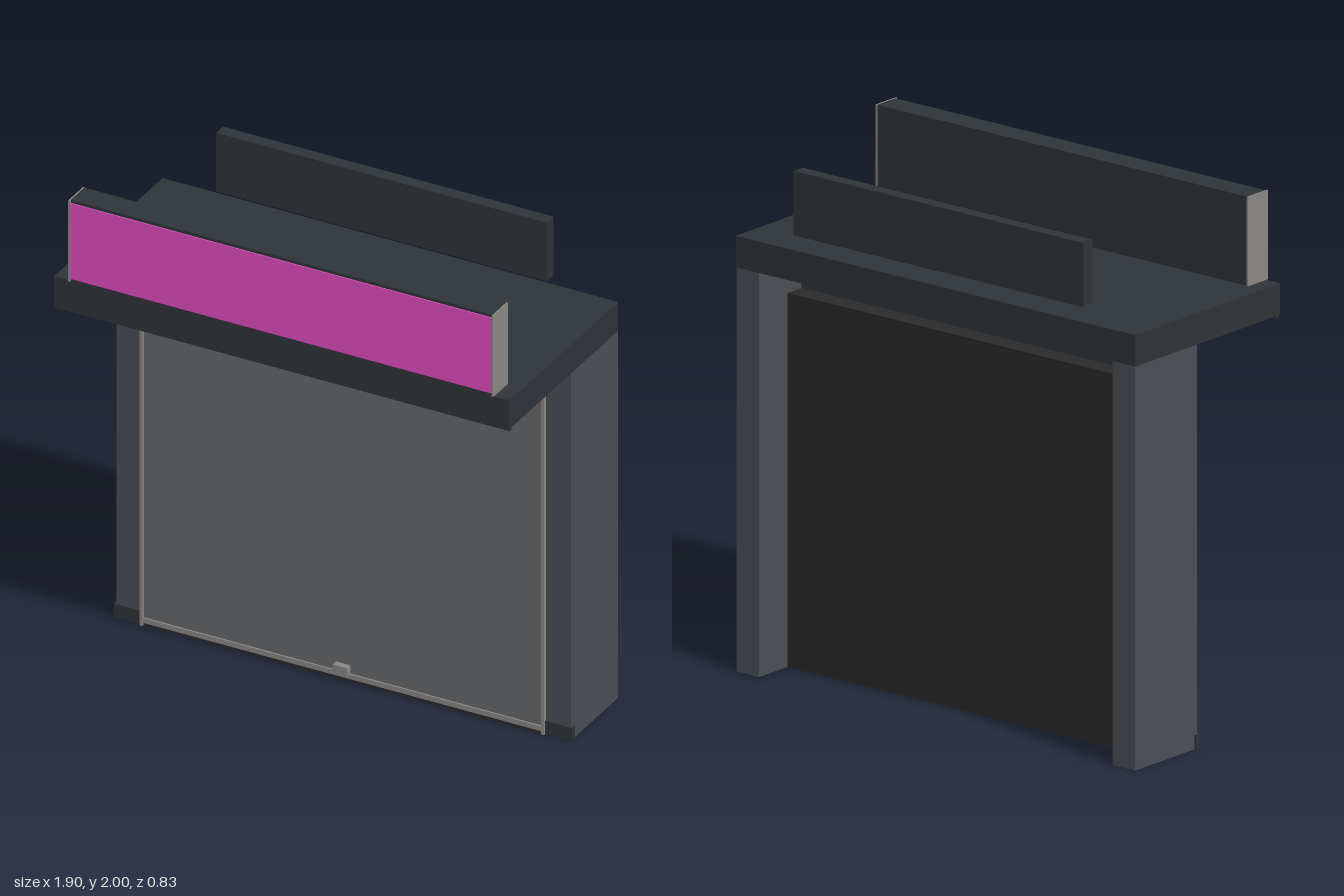
import * as THREE from 'three';

const mat = (color) => new THREE.MeshStandardMaterial({ color });

export function createModel() {
  const model = new THREE.Group();
  const slate = mat(0x2f3438);
  const pillarGrey = mat(0x4a4f54);
  const dark = mat(0x2a2a2a);
  const trim = mat(0x8a8885);
  const shutterGrey = mat(0x65696b);
  const magenta = mat(0xe04cc0);

  // Box given by its limits along each axis
  function box(name, material, [x0, x1], [y0, y1], [z0, z1]) {
    const mesh = new THREE.Mesh(new THREE.BoxGeometry(x1 - x0, y1 - y0, z1 - z0), material);
    mesh.position.set((x0 + x1) / 2, (y0 + y1) / 2, (z0 + z1) / 2);
    mesh.name = name;
    model.add(mesh);
  }
  // The same box on both sides of the model
  function pair(name, material, [x0, x1], y, z) {
    box(name + 'Left', material, [x0, x1], y, z);
    box(name + 'Right', material, [-x1, -x0], y, z);
  }

  // Side pillars with small foot plates
  pair('pillar', pillarGrey, [0.835, 0.943], [0, 1.54], [-0.412, -0.06]);
  pair('footPlate', slate, [0.83, 0.95], [0, 0.055], [-0.075, -0.055]);

  // Canopy slab, front drip lip and the lamp strip underneath
  box('canopy', slate, [-0.945, 0.945], [1.54, 1.66], [-0.412, 0.41]);
  box('dripLip', slate, [-0.943, 0.943], [1.528, 1.541], [0.39, 0.405]);
  box('lampStrip', dark, [-0.3, 0.3], [1.534, 1.541], [0.07, 0.14]);

  // Door opening: header beam and backing
  box('header', slate, [-0.835, 0.835], [1.425, 1.54], [-0.17, -0.05]);
  box('doorBacking', dark, [-0.835, 0.835], [0, 1.425], [-0.25, -0.062]);

  // Shutter with its guide rails, bottom bar and lock
  box('shutter', shutterGrey, [-0.83, 0.83], [0.01, 1.43], [-0.062, -0.055]);
  pair('guideRail', trim, [0.826, 0.838], [0, 1.43], [-0.062, -0.045]);
  box('bottomBar', trim, [-0.826, 0.826], [0.012, 0.032], [-0.06, -0.048]);
  box('bottomSeal', dark, [-0.826, 0.826], [0, 0.012], [-0.062, -0.05]);
  box('lock', trim, [-0.03, 0.03], [0.032, 0.066], [-0.056, -0.03]);

  // Front sign: body, coloured face and end caps
  box('signBody', slate, [-0.875, 0.875], [1.66, 2], [0.307, 0.41]);
  box('signFace', magenta, [-0.873, 0.873], [1.672, 1.988], [0.405, 0.415]);
  pair('signEndCap', trim, [0.874, 0.881], [1.66, 2], [0.305, 0.418]);

  // Rear board above the canopy
  box('rearBoard', slate, [-0.685, 0.685], [1.71, 1.955], [-0.396, -0.344]);

  return model;
}
